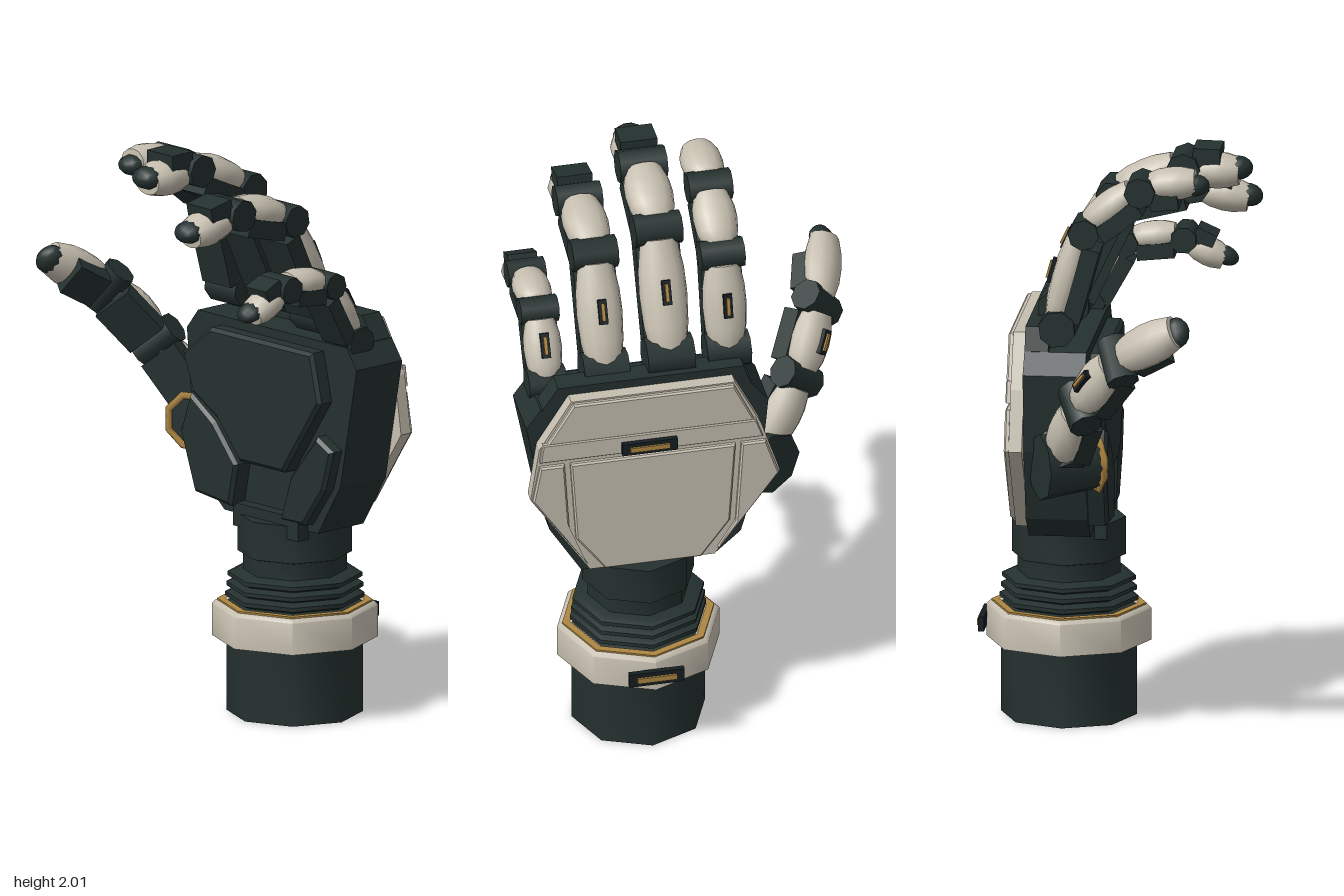
import * as THREE from 'three';
import { toCreasedNormals } from 'three/addons/utils/BufferGeometryUtils.js';

const mat = (name, color) => { const m = new THREE.MeshStandardMaterial({ color }); m.name = name; return m; };
const V = (x, y, z) => new THREE.Vector3(x, y, z);

export function createModel() {
  const dark = mat('dark rubber', 0x24312f), ivory = mat('ivory shell', 0xc6bfb0);
  const gold = mat('gold trim', 0xad8642), black = mat('badge black', 0x161e22);
  const model = new THREE.Group();
  model.name = 'roboticHand';

  const add = (parent, name, geo, material, x = 0, y = 0, z = 0) => {
    const m = new THREE.Mesh(geo, material);
    m.name = name;
    m.position.set(x, y, z);
    parent.add(m);
    return m;
  };
  const box = (parent, name, w, h, d, material, x, y, z) =>
    add(parent, name, new THREE.BoxGeometry(w, h, d), material, x, y, z);
  // lathe with sharp edges along the profile, smooth around
  const turned = (pts, sides) =>
    toCreasedNormals(new THREE.LatheGeometry(pts.map(p => new THREE.Vector2(...p)), sides), 0.9);
  // flat plate from an outline, between two depths
  const plate = (name, pts, z0, z1, material, bevel = 0) => {
    const geo = new THREE.ExtrudeGeometry(new THREE.Shape(pts.map(p => new THREE.Vector2(...p))), {
      depth: z1 - z0 - 2 * bevel, bevelEnabled: bevel > 0, bevelThickness: bevel,
      bevelSize: bevel, bevelOffset: -bevel, bevelSegments: 1 });
    return add(model, name, geo, material, 0, 0, z0 + bevel);
  };

  // wrist and forearm, all eight-sided around one axis
  const wrist = new THREE.Group();
  wrist.name = 'wrist';
  wrist.position.set(0.2, 0, -0.17);
  model.add(wrist);
  add(wrist, 'forearm', turned([[0, 0], [0.23, 0], [0.23, 0.27], [0, 0.27]], 8), dark);
  add(wrist, 'cuff', turned([[0.22, 0.26], [0.28, 0.26], [0.28, 0.37], [0.268, 0.382], [0, 0.382]], 8), ivory);
  add(wrist, 'cuffTrim', turned([[0.262, 0.38], [0.262, 0.388], [0.235, 0.388]], 8), gold);
  const folds = [[0.235, 0.38]];
  for (let i = 0; i < 3; i++) {
    const y = 0.388 + i * 0.035, r = 0.235 - i * 0.004;
    folds.push([r - 0.025, y], [r, y + 0.01], [r, y + 0.024], [r - 0.025, y + 0.034]);
  }
  folds.push([0, 0.492]);
  add(wrist, 'bellows', turned(folds, 8), dark);
  add(wrist, 'neck', turned([[0.175, 0.48], [0.175, 0.55], [0.193, 0.555], [0.193, 0.685], [0, 0.685]], 8), dark);

  // palm body and front pads
  plate('palmBody', [[-0.04, 0.67], [0.42, 0.67], [0.53, 0.85], [0.61, 1.27], [0.56, 1.34],
    [-0.17, 1.34], [-0.225, 1.27], [-0.2, 1.0], [-0.13, 0.75]], -0.28, -0.07, dark);
  plate('knuckleRidge', [[-0.18, 1.3], [0.58, 1.3], [0.5, 1.42], [-0.14, 1.42]], -0.28, -0.2, dark);
  plate('palmPad', [[0.09, 0.87], [0.31, 0.87], [0.49, 1.14], [0.45, 1.31], [-0.05, 1.31],
    [-0.19, 1.2], [-0.14, 1.07], [-0.02, 1.0]], -0.08, -0.01, dark, 0.012);
  plate('thumbPad', [[-0.12, 0.73], [0.06, 0.71], [0.09, 0.86], [-0.02, 0.99], [-0.14, 1.07],
    [-0.19, 0.93]], -0.08, 0, dark, 0.012);
  plate('heelPad', [[0.28, 0.7], [0.4, 0.7], [0.5, 0.84], [0.54, 0.98], [0.46, 1.02],
    [0.33, 0.86]], -0.08, -0.02, dark, 0.012);
  box(model, 'wristTab', 0.32, 0.08, 0.05, dark, 0.21, 0.68, -0.05);

  // ivory back shell: base sheet with raised panels leaving grooves
  plate('backShell', [[-0.03, 0.7], [0.4, 0.7], [0.605, 1.01], [0.575, 1.21], [0.465, 1.39],
    [-0.1, 1.39], [-0.19, 1.21], [-0.255, 1.01]], -0.325, -0.28, ivory);
  plate('knucklePanel', [[-0.165, 1.235], [0.55, 1.235], [0.46, 1.385], [-0.095, 1.385]], -0.342, -0.32, ivory, 0.006);
  plate('knucklePanelLower', [[-0.195, 1.165], [0.575, 1.165], [0.565, 1.236], [-0.17, 1.236]], -0.342, -0.32, ivory, 0.004);
  plate('centerPanel', [[0.02, 0.705], [0.35, 0.705], [0.45, 0.84], [0.47, 1.145], [-0.1, 1.145],
    [-0.08, 0.84]], -0.342, -0.32, ivory, 0.006);
  plate('sidePanelLeft', [[0.41, 0.73], [0.6, 1.01], [0.575, 1.145], [0.49, 1.145], [0.47, 0.83]], -0.342, -0.32, ivory, 0.006);
  plate('sidePanelRight', [[-0.04, 0.73], [-0.1, 0.83], [-0.12, 1.145], [-0.205, 1.145],
    [-0.25, 1.01]], -0.342, -0.32, ivory, 0.006);

  // badges: dark bar with a thin gold strip on the back
  const badge = (parent, x, y, z, w, h) => {
    box(parent, 'badge', w, h, 0.02, black, x, y, z);
    box(parent, 'badgeStrip', w * 0.72, h * 0.4, 0.008, gold, x, y, z - 0.013);
  };
  badge(model, 0.2, 1.19, -0.35, 0.19, 0.045);
  badge(model, 0.2, 0.32, -0.458, 0.19, 0.05);

  // fingers: local y runs along the bone, local z faces the palm side
  const profile = [[0, -0.5], [0.74, -0.5], [0.93, -0.28], [1, 0], [0.96, 0.22], [0.76, 0.5], [0, 0.5]];
  const shellGeo = turned(profile, 12);
  const tipGeo = new THREE.SphereGeometry(1, 10, 8);
  const boneFrame = (a, b, palm) => {
    const y = b.clone().sub(a).normalize();
    const x = y.clone().cross(palm).normalize();
    return new THREE.Matrix4().makeBasis(x, y, x.clone().cross(y));
  };
  const finger = (name, joints, width, palm, badgeBone) => {
    const g = new THREE.Group();
    g.name = name;
    model.add(g);
    for (let i = 0; i < 3; i++) {
      const a = joints[i], b = joints[i + 1], len = a.distanceTo(b), last = i === 2;
      const bone = new THREE.Group();
      bone.name = 'bone' + (i + 1);
      bone.quaternion.setFromRotationMatrix(boneFrame(a, b, palm));
      bone.position.copy(a);
      g.add(bone);
      const w = width * (last ? 0.96 : 1), start = i ? 0.03 : 0.02, end = last ? len - 0.04 : len - 0.03;
      const shell = add(bone, 'shell', shellGeo, ivory, 0, (start + end) / 2, -0.012);
      shell.scale.set(w / 2, end - start, width * 0.38);
      box(bone, 'palmSide', w * (last ? 0.8 : 0.92), (end - start) * (last ? 0.6 : 0.9), width * 0.4, dark,
        0, (start + end) / 2 - (last ? 0.03 : 0), width * 0.25);
      // hinge barrel at the root of each bone
      const r = i ? width * 0.35 : width * 0.42;
      add(bone, 'hinge', new THREE.CylinderGeometry(r, r, width * 0.99, 8).rotateZ(Math.PI / 2), dark);
      if (i === badgeBone) {
        const m = new THREE.Group();
        m.name = 'boneBadge';
        m.position.set(0, len * 0.52, -0.012 - width * 0.38);
        m.rotation.z = Math.PI / 2;
        bone.add(m);
        badge(m, 0, 0, 0, 0.085, 0.03);
      }
      if (last) add(bone, 'fingertip', tipGeo, dark, 0, len - 0.045, 0).scale.set(width * 0.35, 0.05, width * 0.24);
    }
  };
  const front = V(0, 0, 1);
  // x, width, then y and z of each joint
  [['indexFinger', -0.105, 0.152, [1.42, -0.17], [1.75, -0.08], [1.9, 0.11], [1.92, 0.335]],
    ['middleFinger', 0.1, 0.165, [1.44, -0.19], [1.83, -0.005], [1.935, 0.235], [1.93, 0.46]],
    ['ringFinger', 0.317, 0.158, [1.4, -0.17], [1.76, 0], [1.82, 0.245], [1.775, 0.47]],
    ['littleFinger', 0.51, 0.132, [1.35, -0.13], [1.565, -0.01], [1.585, 0.19], [1.505, 0.365]],
  ].forEach(([name, x, w, ...j]) => finger(name, j.map(([y, z]) => V(x, y, z)), w, front, 0));

  // thumb with its angled mount and gold ring
  const thumbPalm = V(0.45, 0, 0.9).normalize();
  finger('thumb', [V(-0.23, 0.99, -0.15), V(-0.37, 1.2, -0.07), V(-0.47, 1.39, 0.07), V(-0.54, 1.53, 0.31)],
    0.16, thumbPalm, 1);
  const mount = new THREE.Group();
  mount.name = 'thumbMount';
  mount.position.set(-0.165, 0.96, -0.04);
  mount.quaternion.setFromUnitVectors(front, thumbPalm);
  model.add(mount);
  add(mount, 'mountDrum', new THREE.CylinderGeometry(0.09, 0.115, 0.2, 8).rotateX(Math.PI / 2), dark, 0, 0, -0.1);
  add(mount, 'mountRing', new THREE.TorusGeometry(0.093, 0.013, 4, 8).rotateZ(Math.PI / 8), gold);
  return model;
}
